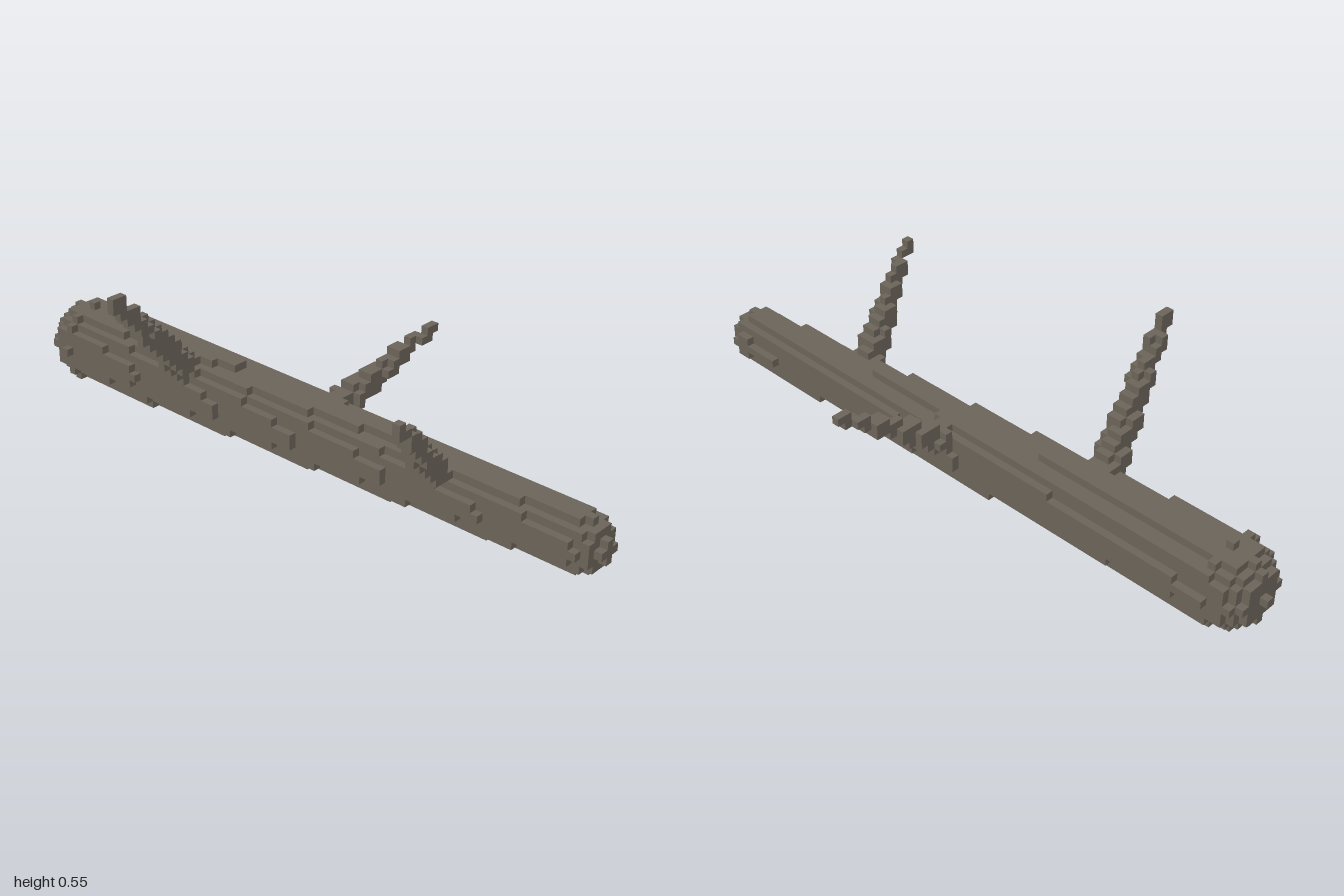
import * as THREE from 'three';

const S = 2 / 83;                 // cube size
const ORIGIN = [-41.5, 0, -17];   // grid corner, in cubes
const key = (p) => p.join(',');

// Fill cubes swept by a ball that shrinks from r0 to r1 between two grid points
function sweep(a, b, r0, r1, taken) {
  const cells = new Map();
  const length = Math.hypot(b[0] - a[0], b[1] - a[1], b[2] - a[2]);
  const steps = Math.ceil(length);
  for (let s = 0; s <= steps; s++) {
    const t = s / steps;
    const c = a.map((v, n) => v + (b[n] - v) * t);
    const r = r0 + (r1 - r0) * t;
    const lo = c.map((v) => Math.ceil(v - r - 1e-6));
    const hi = c.map((v) => Math.floor(v + r + 1e-6));
    for (let i = lo[0]; i <= hi[0]; i++)
      for (let j = lo[1]; j <= hi[1]; j++)
        for (let k = lo[2]; k <= hi[2]; k++) {
          const p = [i, j, k];
          const d = Math.hypot(i - c[0], j - c[1], k - c[2]);
          if (d <= r + 1e-6 && !taken.has(key(p))) cells.set(key(p), p);
        }
  }
  for (const id of cells.keys()) taken.add(id);
  return [...cells.values()];
}

// Emit only the cube faces that are open to the air
function skin(cells, taken) {
  const position = [];
  const normal = [];
  const square = [[0, 0], [1, 0], [1, 1], [0, 0], [1, 1], [0, 1]];
  for (const p of cells)
    for (let d = 0; d < 3; d++)
      for (const sign of [1, -1]) {
        const next = [...p];
        next[d] += sign;
        if (taken.has(key(next))) continue;
        const u = (d + 1) % 3, v = (d + 2) % 3;
        const n = [0, 0, 0];
        n[d] = sign;
        for (const [x, y] of square) {
          const q = [...p];
          q[d] += sign > 0 ? 1 : 0;
          q[u] += sign > 0 ? x : y;
          q[v] += sign > 0 ? y : x;
          position.push(...q.map((c, m) => (c + ORIGIN[m]) * S));
          normal.push(...n);
        }
      }
  const geometry = new THREE.BufferGeometry();
  geometry.setAttribute('position', new THREE.Float32BufferAttribute(position, 3));
  geometry.setAttribute('normal', new THREE.Float32BufferAttribute(normal, 3));
  return geometry;
}

export function createModel() {
  const group = new THREE.Group();
  group.name = 'fallenLog';
  const bark = new THREE.MeshStandardMaterial({ color: 0x6b6459 });
  bark.name = 'bark';

  // Tapered trunk, then three thin branches growing from its core
  const parts = [
    ['trunk', [5, 5, 18], [79, 4, 14], 5, 3.2],
    ['frontLeftBranch', [60.5, 4.25, 15], [65, 17.5, 27.6], 2, 0.72],
    ['frontRightBranch', [23.5, 4.75, 17], [27, 21.5, 32.5], 2.2, 0.75],
    ['backBranch', [42, 4.5, 16], [47, 14, 0.5], 2, 0.72],
  ];
  const taken = new Set();
  const filled = parts.map(([name, a, b, r0, r1]) => [name, sweep(a, b, r0, r1, taken)]);
  for (const [name, cells] of filled) {
    const mesh = new THREE.Mesh(skin(cells, taken), bark);
    mesh.name = name;
    group.add(mesh);
  }
  return group;
}
